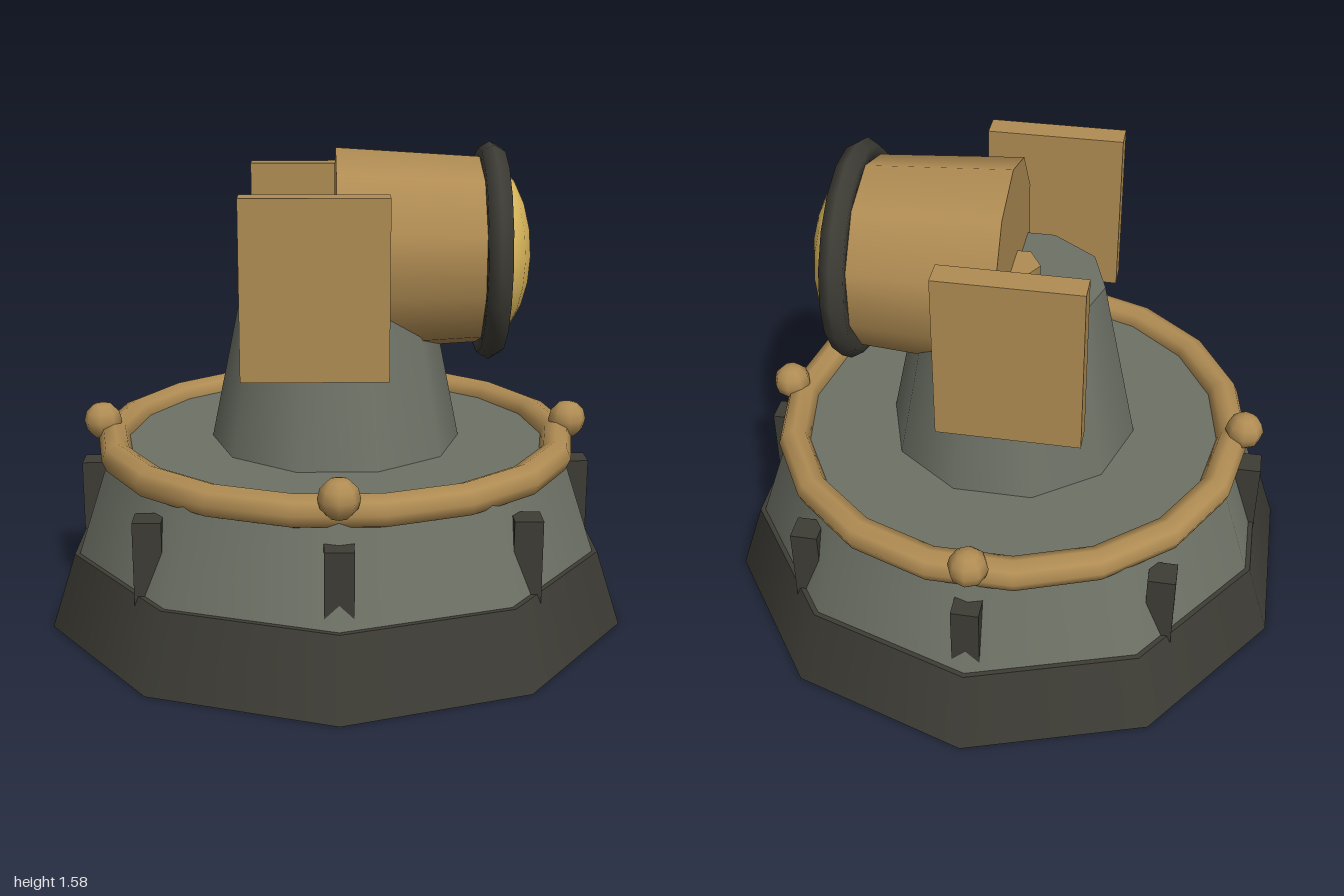
import * as THREE from 'three';

const paint = (name, color) => {
  const m = new THREE.MeshStandardMaterial({ color });
  m.name = name;
  return m;
};

export function createModel() {
  const dark = paint('dark iron', 0x3d3c35);
  const stone = paint('grey stone', 0x6e7266);
  const brass = paint('brass', 0xb08c53);
  const glass = paint('amber glass', 0xdeba5e);

  const model = new THREE.Group();
  model.name = 'swivelLamp';

  const add = (parent, name, geometry, material, x = 0, y = 0, z = 0) => {
    const mesh = new THREE.Mesh(geometry, material);
    mesh.name = name;
    mesh.position.set(x, y, z);
    parent.add(mesh);
    return mesh;
  };
  // Upright tapered drum between two heights
  const drum = (rTop, rBottom, y0, y1, sides) =>
    new THREE.CylinderGeometry(rTop, rBottom, y1 - y0, sides).translate(0, (y0 + y1) / 2, 0);

  // Ten-sided foundation
  add(model, 'base', drum(0.917, 1, 0, 0.25, 10), dark);
  add(model, 'drum', drum(0.79, 0.9, 0.25, 0.575, 10), stone);

  // Brass rail around the platform
  add(model, 'rail', new THREE.TorusGeometry(0.766, 0.054, 8, 18).rotateX(Math.PI / 2), brass, 0, 0.575, 0);

  // Square studs around the drum, all aligned to the axes
  const stud = new THREE.BoxGeometry(0.09, 0.29, 0.09);
  for (let i = 0; i < 8; i++) {
    const a = (i * Math.PI) / 4;
    add(model, 'stud', stud, dark, 0.83 * Math.cos(a), 0.345, 0.83 * Math.sin(a));
  }

  // Four balls on the rail
  const ball = new THREE.SphereGeometry(0.065, 8, 6);
  for (let i = 0; i < 4; i++) {
    const a = (i * Math.PI) / 2;
    add(model, 'railBall', ball, brass, 0.803 * Math.cos(a), 0.63, 0.803 * Math.sin(a));
  }

  // Head assembly, built facing +z and turned to face +x
  const head = new THREE.Group();
  head.name = 'head';
  head.rotation.y = Math.PI / 2;
  model.add(head);

  add(head, 'pedestal', drum(0.304, 0.43, 0.55, 1.16, 10), stone);
  add(head, 'pivot', drum(0.09, 0.09, 1.1, 1.22, 6), brass);

  // Side plates
  for (const s of [-1, 1]) {
    add(head, 'sidePlate', new THREE.BoxGeometry(0.087, 0.567, 0.46), brass, s * 0.462, 1.183, -0.07);
  }

  // Lamp barrel, rim and bulging lens
  const lamp = new THREE.Group();
  lamp.name = 'lamp';
  lamp.position.y = 1.22;
  head.add(lamp);
  add(lamp, 'barrel', new THREE.CylinderGeometry(0.312, 0.345, 0.52, 10).rotateX(Math.PI / 2), brass, 0, 0, 0.26);
  add(lamp, 'rim', new THREE.TorusGeometry(0.32, 0.045, 6, 18), dark, 0, 0, 0.515);
  const lens = new THREE.SphereGeometry(0.287, 16, 10).scale(1, 1, 0.47);
  add(lamp, 'lens', lens, glass, 0, 0, 0.515);

  return model;
}
